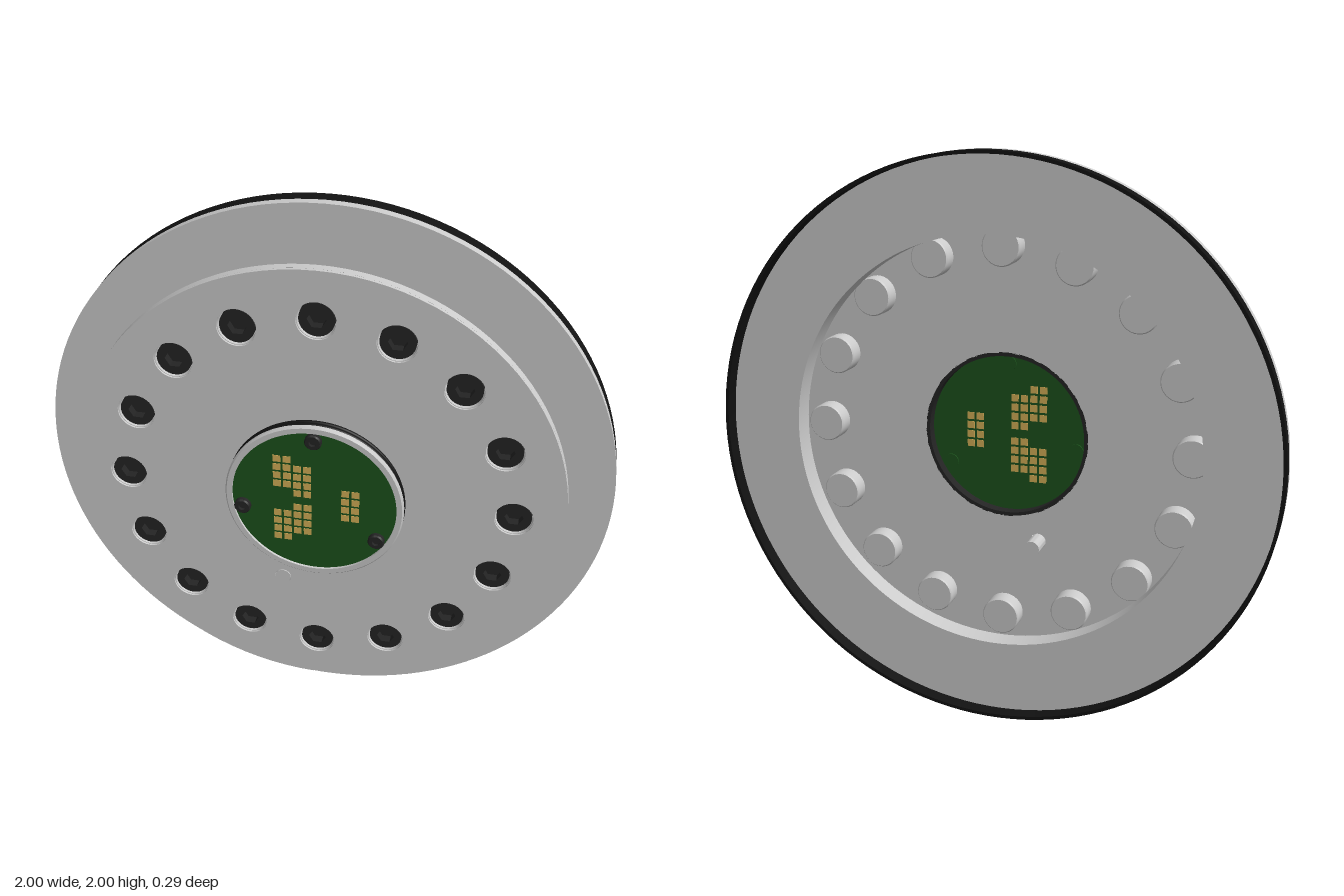
import * as THREE from 'three';
import { toCreasedNormals } from 'three/addons/utils/BufferGeometryUtils.js';

const mat = (color) => new THREE.MeshStandardMaterial({ color });
const grey = mat(0xcccccc), rubber = mat(0x121212), steel = mat(0x242424);
const green = mat(0x1c521c), gold = mat(0xd6b058);

export function createModel() {
  const model = new THREE.Group();
  const wheel = new THREE.Group();
  wheel.name = 'wheel';
  wheel.position.y = 1;
  model.add(wheel);

  const add = (name, geometry, material, x = 0, y = 0, z = 0, parent = wheel) => {
    const mesh = new THREE.Mesh(geometry, material);
    mesh.name = name;
    mesh.position.set(x, y, z);
    parent.add(mesh);
  };
  // Turned part about z; points are [radius, z], outer side running towards +z
  const turned = (points, segments = 96) => toCreasedNormals(
    new THREE.LatheGeometry(points.map(([r, z]) => new THREE.Vector2(r, z)), segments)
      .rotateX(Math.PI / 2), 0.5);
  // Solid rod about z between two depths
  const rod = (r, z0, z1, segments = 32) =>
    turned([[0, z0], [r, z0], [r, z1], [0, z1]], segments);
  const hole = (x, y, r) => new THREE.Path().absarc(x, y, r, 0, Math.PI * 2, true);

  // Thin flange, neck and flared wall, hollow behind the front plate
  add('flangeAndNeck', turned([
    [0.835, 0.07], [0.835, 0.042], [0.73, -0.02], [0.73, -0.096], [1, -0.096],
    [1, -0.066], [0.74, -0.066], [0.74, -0.02], [0.848, 0.042], [0.848, 0.07],
  ], 128), grey);
  // Hollow band standing out behind the flange
  add('outerBand', turned([
    [0.988, -0.096], [0.988, -0.145], [1, -0.145], [1, -0.096],
  ], 128), rubber);

  // Front plate with bolt holes, hub opening, pin hole and a small notch in the rim
  const boltSpots = Array.from({ length: 16 }, (_, i) => {
    const a = Math.PI / 2 + i * Math.PI / 8;
    return [0.675 * Math.cos(a), 0.675 * Math.sin(a)];
  });
  const pin = [-0.124, -0.386];
  const plate = new THREE.Shape();
  const notch = 0.016;
  plate.absarc(0, 0, 0.848, -Math.PI / 2 + notch, Math.PI * 1.5 - notch, false);
  plate.absarc(0, -0.848, notch * 0.848, Math.PI, 0, true);
  plate.holes.push(hole(0, 0, 0.3), hole(...pin, 0.029));
  boltSpots.forEach(([x, y]) => plate.holes.push(hole(x, y, 0.066)));
  add('frontPlate', toCreasedNormals(new THREE.ExtrudeGeometry(plate, {
    depth: 0.012, bevelEnabled: false, curveSegments: 48,
  }), 0.5), grey, 0, 0, 0.07);

  // Socket bolts, each sunk in a closed cup that stands out at the rear
  const cupGeometry = turned([
    [0, 0.012], [0.064, 0.012], [0.068, 0.017], [0.068, 0.075],
    [0.064, 0.075], [0.064, 0.03], [0, 0.03],
  ], 32);
  const headShape = new THREE.Shape().absarc(0, 0, 0.059, 0, Math.PI * 2, false);
  const socket = new THREE.Path();
  for (let i = 0; i < 6; i++) {
    const a = -i * Math.PI / 3;
    socket[i ? 'lineTo' : 'moveTo'](0.032 * Math.cos(a), 0.032 * Math.sin(a));
  }
  socket.closePath();
  headShape.holes.push(socket);
  const headGeometry = toCreasedNormals(new THREE.ExtrudeGeometry(headShape, {
    depth: 0.04, bevelEnabled: false, curveSegments: 16,
  }), 0.6);
  const floorGeometry = rod(0.05, 0.025, 0.04);
  boltSpots.forEach(([x, y]) => {
    const bolt = new THREE.Group();
    bolt.name = 'bolt';
    bolt.position.set(x, y, 0);
    wheel.add(bolt);
    add('boltCup', cupGeometry, grey, 0, 0, 0, bolt);
    add('boltHead', headGeometry, steel, 0, 0, 0.031, bolt);
    add('boltSocketFloor', floorGeometry, steel, 0, 0, 0, bolt);
  });

  add('locatingPin', rod(0.028, -0.01, 0.084), grey, ...pin);

  // Raised hub: dark sleeve with seal rings and a bright front lip
  add('hubSleeve', turned([
    [0.288, 0.12], [0.288, 0.07], [0.302, 0.07], [0.302, 0.12], [0.288, 0.12],
  ]), steel);
  [0.09, 0.107].forEach((z) =>
    add('sealRing', new THREE.TorusGeometry(0.302, 0.008, 10, 96), rubber, 0, 0, z));
  add('hubLip', turned([
    [0.286, 0.133], [0.286, 0.117], [0.31, 0.117], [0.31, 0.128], [0.305, 0.133], [0.286, 0.133],
  ]), grey);

  // Circuit disc with contact pads on both faces
  add('circuitDisc', rod(0.288, 0.108, 0.124, 96), green);
  const padGeometry = new THREE.BoxGeometry(0.027, 0.026, 0.019);
  const padBlocks = [[-0.11, 0.115], [-0.04, 0.08], [-0.11, -0.112], [-0.04, -0.08], [0.126, 0]];
  padBlocks.forEach(([cx, cy]) => {
    for (let i = 0; i < 8; i++) {
      const x = cx + ((i % 2) - 0.5) * 0.035;
      const y = cy + (Math.floor(i / 2) - 1.5) * 0.034;
      add('contactPad', padGeometry, gold, x, y, 0.116);
    }
  });

  // Three small socket screws holding the disc
  const screwGeometry = turned([
    [0, 0.12], [0.029, 0.12], [0.029, 0.138], [0.025, 0.143], [0.013, 0.143], [0.013, 0.132], [0, 0.132],
  ], 24);
  const screwEnd = rod(0.027, 0.103, 0.11, 24);
  [[0, 0.255], [-0.25, -0.045], [0.22, -0.128]].forEach(([x, y]) => {
    add('discScrew', screwGeometry, steel, x, y);
    add('discScrewEnd', screwEnd, green, x, y);
  });
  return model;
}
